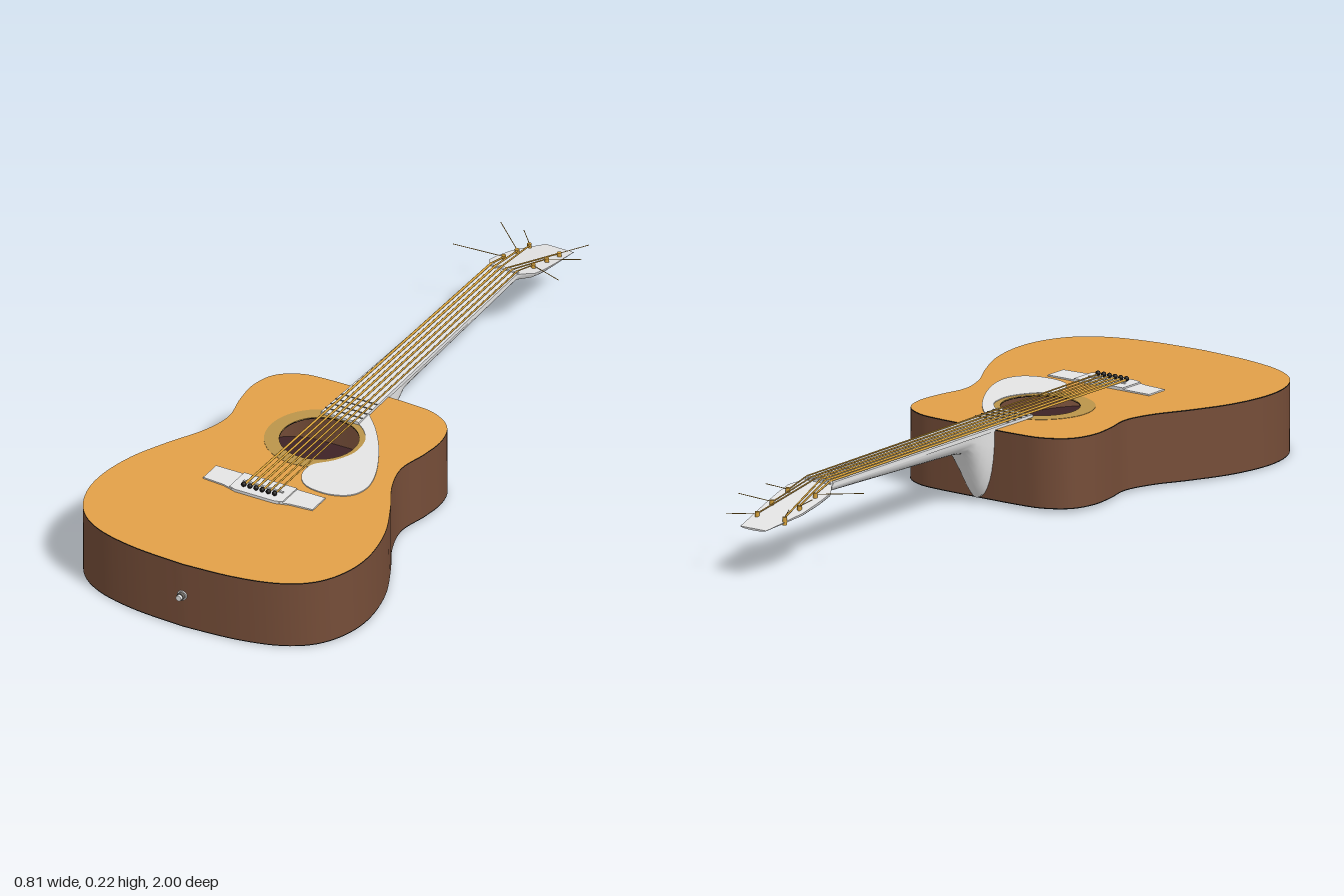
import * as THREE from 'three';
import { toCreasedNormals } from 'three/addons/utils/BufferGeometryUtils.js';

const mat = (name, color) => {
  const m = new THREE.MeshStandardMaterial({ color });
  m.name = name;
  return m;
};

export function createModel() {
  const spruce = mat('orange top wood', 0xe2a048);
  const brown = mat('brown side wood', 0x754d38);
  const black = mat('black', 0x14110f);
  const pale = mat('pale grey', 0xe5e5e5);
  const gold = mat('gold', 0xd8a23a);
  const rosetteTan = mat('rosette tan', 0xbb954a);
  const interior = mat('interior maroon', 0x3e2326);
  const steel = mat('dark steel', 0x66625c);

  const guitar = new THREE.Group();
  guitar.name = 'guitar';
  const body = new THREE.Group();
  body.name = 'body';
  body.rotation.x = 0.009;
  guitar.add(body);

  const add = (parent, name, geometry, material) => {
    const mesh = new THREE.Mesh(geometry, material);
    mesh.name = name;
    parent.add(mesh);
    return mesh;
  };
  const v2 = (pts) => pts.map(([x, z]) => new THREE.Vector2(x, z));
  const smooth = (pts, n) => new THREE.SplineCurve(v2(pts)).getPoints(n);

  // Flat slab drawn in plan (x, z), hanging down from its top height
  const slab = (shape, top, depth) => {
    const g = new THREE.ExtrudeGeometry(shape, { depth, bevelEnabled: false, curveSegments: 40 });
    g.rotateX(Math.PI / 2).translate(0, top, 0);
    return toCreasedNormals(g, 0.6);
  };
  const circlePath = (r, z) => new THREE.Path().absarc(0, z, r, 0, Math.PI * 2, true);

  // Straight round rod between two points
  const rod = (parent, name, a, b, r, material, sides = 8) => {
    const p = new THREE.Vector3(...a), q = new THREE.Vector3(...b);
    const dir = q.clone().sub(p);
    const mesh = add(parent, name, new THREE.CylinderGeometry(r, r, dir.length(), sides), material);
    mesh.position.copy(p).add(q).multiplyScalar(0.5);
    mesh.quaternion.setFromUnitVectors(new THREE.Vector3(0, 1, 0), dir.normalize());
  };

  // D-shaped loft running towards -z; sections are [z, centre x, half width, top y, bottom y]
  const loft = (sections, power) => {
    const n = 17, pos = [], idx = [];
    for (const [z, cx, hw, top, bottom] of sections) {
      for (let j = 0; j < n; j++) {
        const a = (j / (n - 1)) * Math.PI;
        const s = Math.pow(Math.max(Math.sin(a), 0), power);
        pos.push(cx + hw * Math.cos(a), top - (top - bottom) * s, z);
      }
    }
    for (let i = 0; i < sections.length - 1; i++) {
      for (let j = 0; j < n; j++) {
        const k = (j + 1) % n, a = i * n + j, b = i * n + k;
        idx.push(a, b, a + n, b, b + n, a + n);
      }
    }
    const end = (sections.length - 1) * n;
    for (let j = 1; j < n - 1; j++) idx.push(0, j + 1, j, end, end + j, end + j + 1);
    const g = new THREE.BufferGeometry();
    g.setAttribute('position', new THREE.Float32BufferAttribute(pos, 3));
    g.setIndex(idx);
    return toCreasedNormals(g, 0.7);
  };

  // Body outline, mirrored from one half and turned counter-clockwise
  const half = [[0, .978], [.15, .967], [.27, .937], [.35, .883], [.395, .80], [.407, .70], [.385, .58],
    [.335, .465], [.285, .37], [.262, .28], [.279, .19], [.285, .11], [.262, .04], [.2, -.002], [.12, -.012]];
  const mirrored = half.slice(1).reverse().map(([x, z]) => [-x, z]);
  const outline = smooth([...half, [0, -.013], ...mirrored, half[0]], 160).reverse();
  outline.pop();
  const inset = outline.map((p) => new THREE.Vector2(p.x * 0.97, 0.48 + (p.y - 0.48) * 0.97));
  const TOP = 0.2025, HOLE_Z = 0.257;

  const rim = new THREE.Shape(outline);
  rim.holes.push(new THREE.Path(inset));
  add(body, 'sides', slab(rim, TOP - 0.003, 0.1865), brown);
  add(body, 'back', slab(new THREE.Shape(outline), 0.013, 0.003), [brown, black]);
  const topShape = new THREE.Shape(outline);
  topShape.holes.push(circlePath(0.105, HOLE_Z));
  add(body, 'topBoard', slab(topShape, TOP, 0.003), [spruce, black]);
  add(body, 'interiorFloor', slab(new THREE.Shape(inset), 0.0185, 0.003), interior);

  // Sound hole ring
  const ring = new THREE.Shape().absarc(0, HOLE_Z, 0.145, 0, Math.PI * 2);
  ring.holes.push(circlePath(0.105, HOLE_Z));
  add(body, 'rosette', slab(ring, TOP + 0.001, 0.002), rosetteTan);

  // Teardrop pickguard hugging the sound hole
  const guard = smooth([[.055, .09], [.11, .15], [.165, .23], [.215, .33], [.234, .41], [.215, .465], [.16, .49],
    [.09, .482], [.052, .44], [.05, .385], [.092, .334], [.118, .275], [.112, .21], [.085, .17], [.055, .145]], 70);
  add(body, 'pickguard', slab(new THREE.Shape(guard), TOP + 0.003, 0.004), pale);

  // Bridge with thin wings, raised middle and saddle
  const wings = new THREE.Shape(v2([[-.165, .512], [.165, .512], [.165, .58], [.1, .585], [.06, .597],
    [-.06, .597], [-.1, .585], [-.165, .58]]));
  add(body, 'bridgeWings', slab(wings, TOP + 0.004, 0.005), pale);
  const middle = new THREE.Shape(v2([[-.08, .512], [.08, .512], [.08, .59], [.06, .597], [-.06, .597], [-.08, .59]]));
  add(body, 'bridgeMiddle', slab(middle, TOP + 0.008, 0.006), pale);
  const saddle = add(body, 'saddle', new THREE.BoxGeometry(0.12, 0.006, 0.006), pale);
  saddle.position.set(0, TOP + 0.008, 0.55);

  // Strap pin at the tail
  const pinParts = [['pinBase', 0.014, 0.974, 0.983, pale], ['pinCollar', 0.0105, 0.983, 0.992, steel],
    ['pinHead', 0.008, 0.992, 1.0, pale]];
  for (const [name, r, z0, z1, m] of pinParts) rod(guitar, name, [0, .098, z0], [0, .098, z1], r, m, 20);

  // Neck with a wedge-shaped heel
  add(guitar, 'neck', loft([
    [-.008, 0, .052, .2, .012], [-.022, 0, .052, .2, .012], [-.038, 0, .051, .2, .034], [-.06, 0, .05, .2, .073],
    [-.085, 0, .05, .201, .115], [-.11, 0, .049, .201, .149], [-.15, 0, .049, .201, .156],
    [-.42, 0, .046, .201, .167], [-.70, 0, .042, .201, .178], [-.725, 0, .043, .201, .178]], 0.9), pale);
  const headTop = (z) => 0.207 + (z + 0.715) * 0.262;
  const headSections = [[-.705, 0, .042, .178], [-.725, 0, .05, .176], [-.755, 0, .07, .17], [-.80, 0, .071, .159],
    [-.87, 0, .066, .146], [-.93, .006, .054, .139], [-.985, .013, .042, .131]];
  add(guitar, 'headstock', loft(headSections.map(([z, cx, hw, b]) => [z, cx, hw, headTop(z), b]), 0.85), pale);

  // Fretboard, nut and the raised frets beside the sound hole
  const BOARD = 0.2095, NUT = -0.715, SCALE = 1.265;
  const boardHalf = (z) => 0.042 + (z - NUT) * 0.0173;
  const board = new THREE.Shape(v2([[-.042, NUT], [.042, NUT], [.057, .15], [-.057, .15]]));
  add(guitar, 'fretboard', slab(board, BOARD, 0.011), pale);
  const nut = add(guitar, 'nut', new THREE.BoxGeometry(0.084, 0.012, 0.008), pale);
  nut.position.set(0, 0.2085, NUT);
  for (let n = 16; n <= 19; n++) {
    const z = 0.55 - SCALE / Math.pow(2, n / 12);
    const fret = add(guitar, 'fret', new THREE.BoxGeometry(boardHalf(z) * 2, 0.002, 0.004), steel);
    fret.position.set(0, BOARD + 0.0005, z);
  }

  // Strings from pegs over the nut to the tuning posts, with loose ends
  const postZ = [-.79, -.86, -.925];
  const looseEnds = [[-.178, .212, -.755], [-.12, .218, -.905], [-.07, .19, -.94],
    [.095, .165, -.995], [.135, .19, -.885], [.135, .19, -.765]];
  for (let i = 0; i < 6; i++) {
    const t = i - 2.5, side = Math.sign(t);
    const z = postZ[i < 3 ? i : 5 - i], y = headTop(z);
    const r = 0.0032 - i * 0.0002;
    const atNut = [t * 0.0158, 0.2155, NUT], onPost = [side * 0.043, y + 0.008, z];
    rod(guitar, 'string', [t * 0.0186, 0.2095, 0.575], atNut, r, gold);
    rod(guitar, 'headString', atNut, onPost, r * 0.8, gold);
    rod(guitar, 'looseStringEnd', onPost, looseEnds[i], 0.0011, gold, 5);
    rod(guitar, 'tuningPost', [side * 0.045, y - 0.01, z], [side * 0.045, y + 0.012, z], 0.006, gold, 12);
    const peg = add(guitar, 'bridgePeg', new THREE.SphereGeometry(0.007, 14, 10), black);
    peg.position.set(t * 0.0186, 0.212, 0.575);
  }
  return guitar;
}
